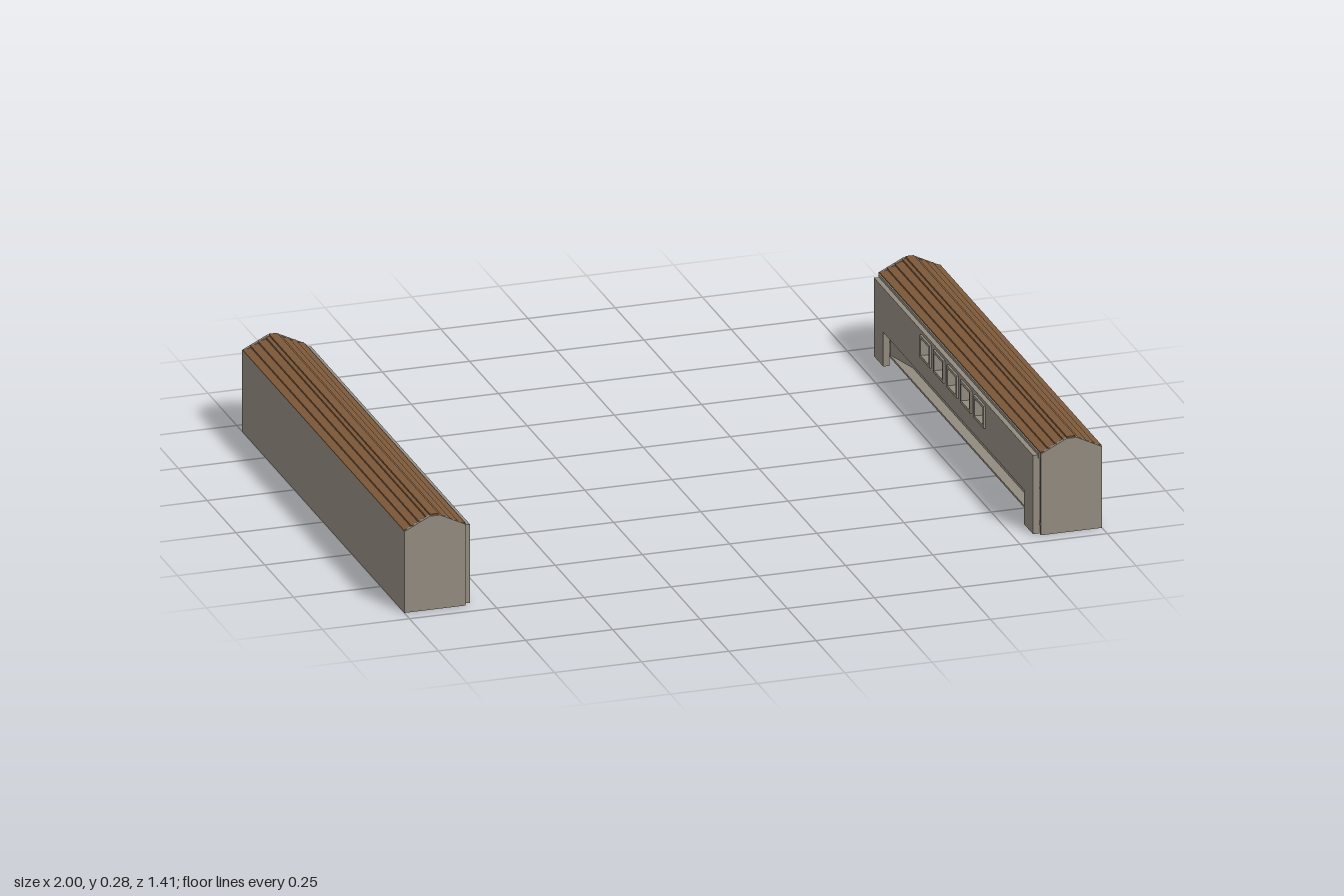
import * as THREE from 'three';

const wallMat = new THREE.MeshStandardMaterial({ color: 0x928a7e });
wallMat.name = 'weathered grey wall';
const roofMat = new THREE.MeshStandardMaterial({ color: 0x7c583a });
roofMat.name = 'brown roof';

const INNER = 0.825, OUTER = 1, RIDGE = 0.9125, HALF = 0.705;
const EAVE = 0.238, TOP = 0.278;

function add(group, name, geometry, material) {
  const mesh = new THREE.Mesh(geometry, material);
  mesh.name = name;
  group.add(mesh);
  return mesh;
}

function box(group, name, x0, x1, y0, y1, z0, z1, material = wallMat) {
  const mesh = add(group, name, new THREE.BoxGeometry(x1 - x0, y1 - y0, z1 - z0), material);
  mesh.position.set((x0 + x1) / 2, (y0 + y1) / 2, (z0 + z1) / 2);
}

function polygon(points) {
  return new THREE.Shape(points.map(([x, y]) => new THREE.Vector2(x, y)));
}

function rectHole(shape, cx, cy, w, h) {
  const hole = new THREE.Path();
  hole.moveTo(cx - w / 2, cy - h / 2).lineTo(cx - w / 2, cy + h / 2);
  hole.lineTo(cx + w / 2, cy + h / 2).lineTo(cx + w / 2, cy - h / 2).closePath();
  shape.holes.push(hole);
}

// extrude a (z, y) outline across x, from x0 to x1
function sidePlate(group, name, shape, x0, x1) {
  const g = new THREE.ExtrudeGeometry(shape, { depth: x1 - x0, bevelEnabled: false });
  g.rotateY(-Math.PI / 2).translate(x1, 0, 0);
  add(group, name, g, wallMat);
}

// extrude an (x, y) outline along z, from z0 to z1
function alongZ(group, name, shape, z0, z1, material) {
  const g = new THREE.ExtrudeGeometry(shape, { depth: z1 - z0, bevelEnabled: false });
  add(group, name, g.translate(0, 0, z0), material);
}

function buildHall() {
  const hall = new THREE.Group();

  // solid outer wall and raised floor
  box(hall, 'outerWall', OUTER - 0.01, OUTER, 0, EAVE, -HALF, HALF);
  box(hall, 'floor', INNER, OUTER - 0.01, 0.026, 0.032, -HALF + 0.01, HALF - 0.01);

  // gabled end walls
  const gable = polygon([[INNER, 0], [OUTER, 0], [OUTER, EAVE], [RIDGE + 0.015, TOP - 0.004],
    [RIDGE - 0.015, TOP - 0.004], [INNER, EAVE]]);
  for (const z of [-HALF, HALF - 0.01]) alongZ(hall, 'gableWall', gable, z, z + 0.01, wallMat);

  // courtyard front: end piers, long opening below, window row above
  const front = polygon([[-0.69, 0], [-0.61, 0], [-0.61, 0.1], [0.61, 0.1], [0.61, 0], [0.69, 0],
    [0.69, 0.23], [-0.69, 0.23]]);
  const windows = [-2, -1, 0, 1, 2].map(i => i * 0.117);
  for (const z of windows) rectHole(front, z, 0.187, 0.07, 0.052);
  sidePlate(hall, 'courtyardFront', front, 0.807, INNER);
  box(hall, 'eaveBeam', INNER - 0.004, INNER + 0.008, 0.222, EAVE, -HALF + 0.01, HALF - 0.01);

  // recessed wall with splayed ends behind the opening, under a soffit
  const plan = polygon([[0.826, -0.61], [0.855, -0.5], [0.855, 0.5], [0.826, 0.61],
    [0.831, 0.61], [0.86, 0.5], [0.86, -0.5], [0.831, -0.61]]);
  const recess = new THREE.ExtrudeGeometry(plan, { depth: 0.07, bevelEnabled: false });
  add(hall, 'recessedWall', recess.rotateX(-Math.PI / 2).translate(0, 0.032, 0), wallMat);
  box(hall, 'soffit', INNER, 0.86, 0.1, 0.106, -0.62, 0.62);

  // open window frames
  for (const z of windows) {
    const frame = polygon([[z - 0.044, 0.154], [z + 0.044, 0.154], [z + 0.044, 0.22], [z - 0.044, 0.22]]);
    rectHole(frame, z, 0.187, 0.07, 0.05);
    sidePlate(hall, 'windowFrame', frame, 0.801, 0.809);
  }

  // roof slopes in overlapping rows
  const rows = 4, half = RIDGE - INNER, drop = TOP - EAVE;
  for (const side of [-1, 1]) {
    for (let i = 0; i < rows; i++) {
      const a = i / rows, b = (i + 1) / rows;
      const xa = RIDGE + side * half * a, xb = RIDGE + side * half * b;
      const ya = TOP - drop * a, yb = TOP - drop * b;
      const row = polygon([[xa, ya - 0.002], [xb, yb + 0.003], [xb, yb - 0.003], [xa, ya - 0.008]]);
      alongZ(hall, 'roofRow', row, -0.7, 0.7, roofMat);
    }
  }
  box(hall, 'ridgeCap', RIDGE - 0.012, RIDGE + 0.012, TOP - 0.006, TOP, -0.7, 0.7, roofMat);
  return hall;
}

export function createModel() {
  const model = new THREE.Group();
  model.name = 'facingHalls';
  // two halls facing each other across a courtyard
  const left = buildHall();
  left.name = 'leftHall';
  const right = buildHall();
  right.name = 'rightHall';
  right.rotation.y = Math.PI;
  model.add(left, right);
  return model;
}
